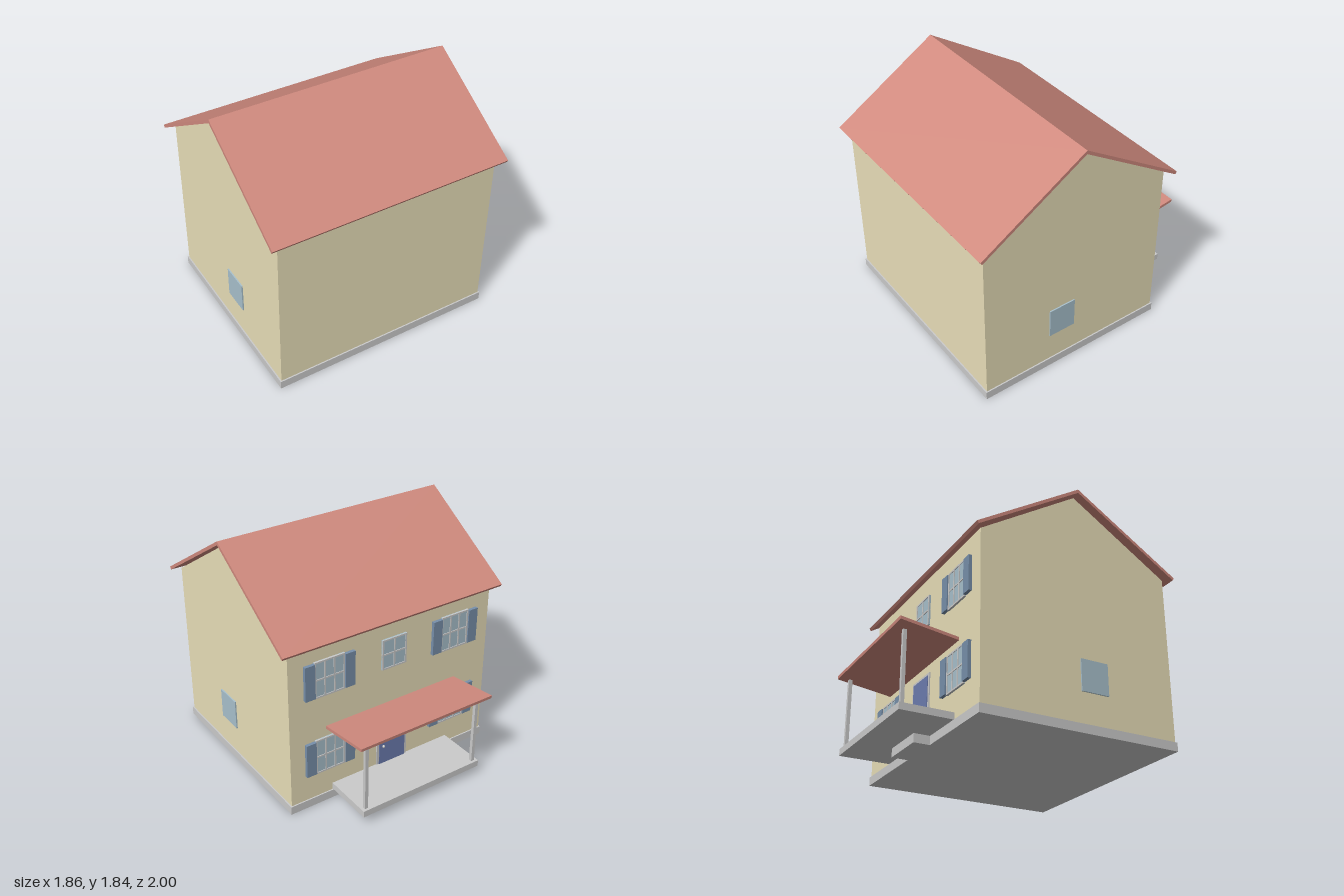
import * as THREE from 'three';

const mat = (color) => new THREE.MeshStandardMaterial({ color, flatShading: true });
const grey = mat(0xcccccc), wall = mat(0xe9dfb9), roofRed = mat(0xd08a7e);
const glass = mat(0xa9c1cd), shutterBlue = mat(0x7890ab), doorBlue = mat(0x6d7db0);

// Box given by its [min, max] range along each axis
function box(parent, name, material, [x0, x1], [y0, y1], [z0, z1]) {
  const mesh = new THREE.Mesh(new THREE.BoxGeometry(x1 - x0, y1 - y0, z1 - z0), material);
  mesh.position.set((x0 + x1) / 2, (y0 + y1) / 2, (z0 + z1) / 2);
  mesh.name = name;
  parent.add(mesh);
  return mesh;
}

// Side profile of (z, y) points swept across the width of the house
function sweep(parent, name, material, points, halfWidth) {
  const shape = new THREE.Shape(points.map(([z, y]) => new THREE.Vector2(z, y)));
  const geometry = new THREE.ExtrudeGeometry(shape, { depth: halfWidth * 2, bevelEnabled: false });
  geometry.translate(0, 0, -halfWidth).rotateY(-Math.PI / 2);
  const mesh = new THREE.Mesh(geometry, material);
  mesh.name = name;
  parent.add(mesh);
}

const BACK = -0.575; // plane of the back wall

// Paned window on the back wall, with optional shutters
function paneWindow(parent, name, x, y, w, h, cols, shutters) {
  const group = new THREE.Group();
  group.name = name;
  group.position.set(x, y, BACK);
  const bar = 0.012, zBar = [-0.016, 0];
  box(group, 'glass', glass, [-w / 2, w / 2], [-h / 2, h / 2], [-0.011, 0]);
  for (let i = 0; i <= cols; i++) {
    const bx = (i / cols - 0.5) * (w - bar);
    box(group, 'uprightBar', grey, [bx - bar / 2, bx + bar / 2], [-h / 2, h / 2], zBar);
  }
  for (let i = 0; i <= 2; i++) {
    const by = (i / 2 - 0.5) * (h - bar);
    box(group, 'crossBar', grey, [-w / 2, w / 2], [by - bar / 2, by + bar / 2], zBar);
  }
  if (shutters) {
    for (const s of [-1, 1]) {
      const sx = s * (w / 2 + 0.04);
      box(group, 'shutter', shutterBlue, [sx - 0.04, sx + 0.04], [-h / 2 + 0.008, h / 2 - 0.008], [-0.025, 0]);
    }
  }
  parent.add(group);
}

export function createModel() {
  const house = new THREE.Group();
  house.name = 'house';

  // Base and gabled body
  box(house, 'foundation', grey, [-0.875, 0.875], [0, 0.065], [-0.585, 0.95]);
  sweep(house, 'walls', wall,
    [[BACK, 0.065], [0.94, 0.065], [0.94, 1.325], [0.182, 1.805], [BACK, 1.325]], 0.865);

  // Main roof, one folded slab
  sweep(house, 'roof', roofRed, [
    [0.182, 1.84], [1.0, 1.33], [0.988, 1.31], [0.182, 1.812], [-0.624, 1.31], [-0.636, 1.33],
  ], 0.93);

  // Plain windows on both sides
  for (const s of [-1, 1]) {
    const xs = [s * 0.86, s * 0.875].sort((a, b) => a - b);
    box(house, 'sideWindow', glass, xs, [0.295, 0.53], [0.185, 0.4]);
  }

  // Back windows
  for (const s of [-1, 1]) {
    paneWindow(house, 'upperWindow', s * 0.542, 1.042, 0.245, 0.285, 3, true);
    paneWindow(house, 'lowerWindow', s * 0.542, 0.412, 0.245, 0.285, 3, true);
  }
  paneWindow(house, 'middleWindow', 0, 1.05, 0.21, 0.24, 2, false);

  // Door with frame and knob
  const door = new THREE.Group();
  door.name = 'door';
  box(door, 'doorFrame', grey, [-0.135, 0.135], [0.12, 0.55], [BACK - 0.008, BACK]);
  box(door, 'doorPanel', doorBlue, [-0.115, 0.115], [0.12, 0.53], [BACK - 0.013, BACK]);
  const knob = new THREE.Mesh(new THREE.SphereGeometry(0.011, 12, 8), grey);
  knob.name = 'doorKnob';
  knob.position.set(0.08, 0.27, BACK - 0.018);
  door.add(knob);
  house.add(door);

  // Porch: step, floor, posts and canopy tilted up outward
  const porch = new THREE.Group();
  porch.name = 'porch';
  box(porch, 'step', grey, [-0.18, 0.18], [0, 0.065], [-0.705, -0.585]);
  box(porch, 'porchFloor', grey, [-0.52, 0.52], [0.07, 0.12], [-0.965, BACK]);
  for (const s of [-1, 1]) {
    box(porch, 'post', grey, [s * 0.483 - 0.013, s * 0.483 + 0.013], [0.12, 0.645], [-0.945, -0.919]);
  }
  sweep(porch, 'porchRoof', roofRed,
    [[BACK, 0.615], [BACK, 0.638], [-1.0, 0.695], [-0.998, 0.672]], 0.57);
  house.add(porch);

  return house;
}
